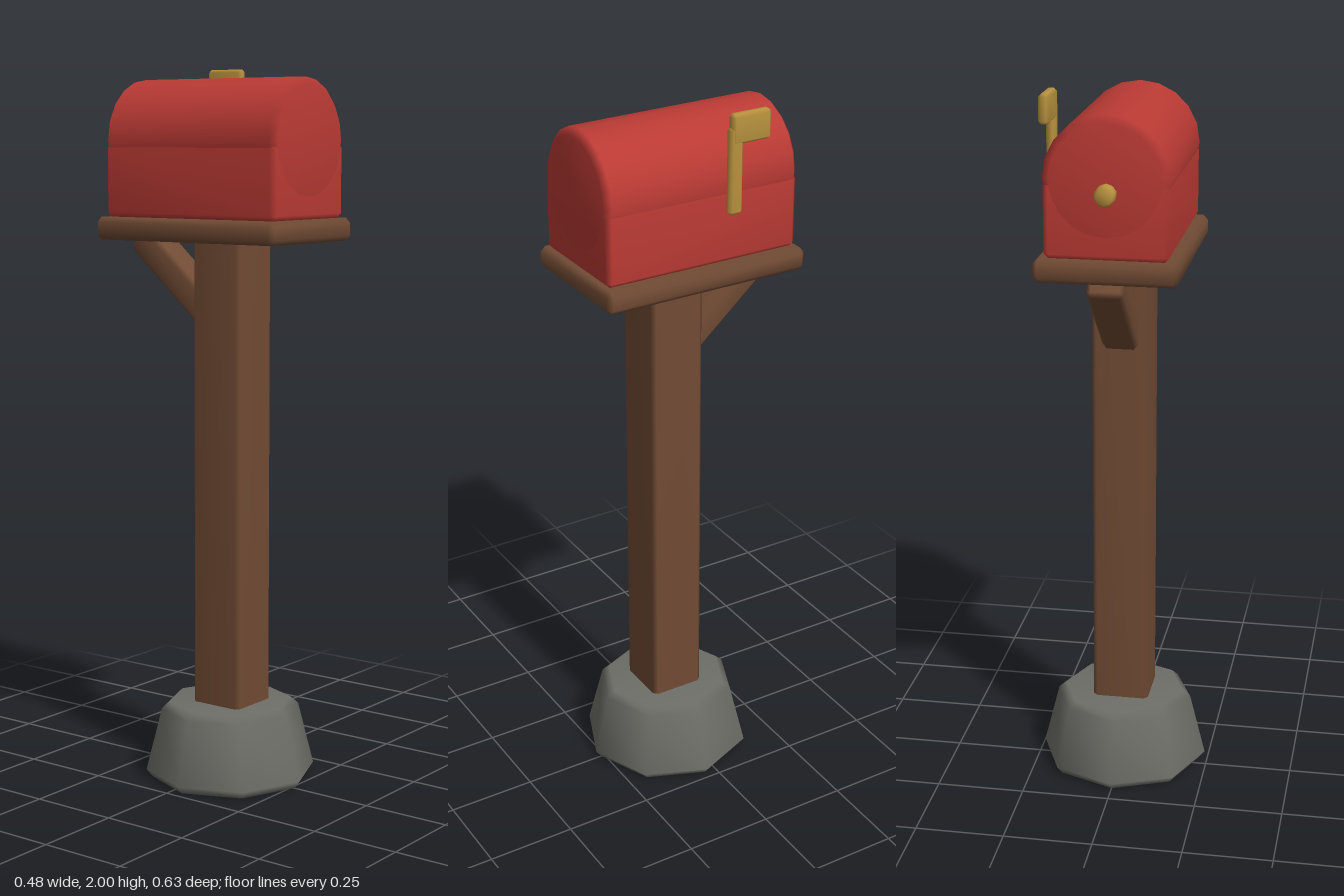
import * as THREE from 'three';
import { mergeVertices } from 'three/addons/utils/BufferGeometryUtils.js';
import { ConvexGeometry } from 'three/addons/geometries/ConvexGeometry.js';

// Weld all corners so the shading runs softly across the bevels
function soften(geometry) {
  geometry.deleteAttribute('normal');
  geometry.deleteAttribute('uv');
  const welded = mergeVertices(geometry, 1e-4);
  welded.computeVertexNormals();
  return welded;
}

// Box with chamfered edges, centred on the origin
function bevelBox(w, h, d, b) {
  const points = [];
  for (const sx of [-1, 1]) for (const sy of [-1, 1]) for (const sz of [-1, 1]) {
    const x = w / 2, y = h / 2, z = d / 2;
    points.push(
      new THREE.Vector3(sx * x, sy * (y - b), sz * (z - b)),
      new THREE.Vector3(sx * (x - b), sy * y, sz * (z - b)),
      new THREE.Vector3(sx * (x - b), sy * (y - b), sz * z));
  }
  return soften(new ConvexGeometry(points));
}

// Turned solid from [radius, height] pairs, bottom to top
function turned(profile, sides) {
  return soften(new THREE.LatheGeometry(profile.map(p => new THREE.Vector2(...p)), sides));
}

export function createModel() {
  const model = new THREE.Group();
  model.name = 'mailbox';
  const material = (name, color) => {
    const m = new THREE.MeshStandardMaterial({ color });
    m.name = name;
    return m;
  };
  const red = material('red paint', 0xba3a34);
  const wood = material('brown wood', 0x714b34);
  const stone = material('grey stone', 0x6e6e68);
  const brass = material('brass', 0xb8923e);

  const add = (name, geometry, mat, x, y, z) => {
    const mesh = new THREE.Mesh(geometry, mat);
    mesh.name = name;
    mesh.position.set(x, y, z);
    model.add(mesh);
    return mesh;
  };

  // Eight-sided stone footing
  add('footing', turned([[0, 0], [0.225, 0], [0.242, 0.022], [0.197, 0.2], [0.175, 0.22], [0, 0.22]], 8),
    stone, 0, 0, 0.035);

  // Post, shelf and slanted brace
  add('post', bevelBox(0.16, 1.4, 0.16, 0.012), wood, 0, 0.86, 0.04);
  add('shelf', bevelBox(0.386, 0.063, 0.605, 0.014), wood, -0.002, 1.56, 0.01);
  const brace = add('brace', bevelBox(0.1, 0.083, 0.37, 0.012), wood, 0, 1.41, -0.121);
  brace.rotation.x = Math.atan2(0.205, 0.235);

  // Mailbox body: bevelled tray below, barrel roof above
  add('bodyLower', bevelBox(0.332, 0.205, 0.576, 0.014), red, -0.002, 1.6925, 0.0115);
  const barrel = turned([[0, -0.289], [0.148, -0.289], [0.168, -0.273], [0.168, 0.273], [0.148, 0.289], [0, 0.289]], 20);
  barrel.rotateX(Math.PI / 2);
  add('bodyBarrel', barrel, red, -0.002, 1.802, 0.0115);

  // Signal flag on the left side
  add('flagArm', bevelBox(0.026, 0.235, 0.04, 0.008), brass, 0.178, 1.8475, -0.069);
  add('flagBanner', bevelBox(0.03, 0.08, 0.116, 0.008), brass, 0.179, 1.96, -0.113);

  // Door knob at the back end
  const knob = turned([[0, 0], [0.02, 0], [0.028, 0.008], [0.028, 0.039], [0.021, 0.047], [0, 0.047]], 10);
  knob.rotateX(-Math.PI / 2);
  add('knob', knob, brass, -0.005, 1.768, -0.268);

  return model;
}
